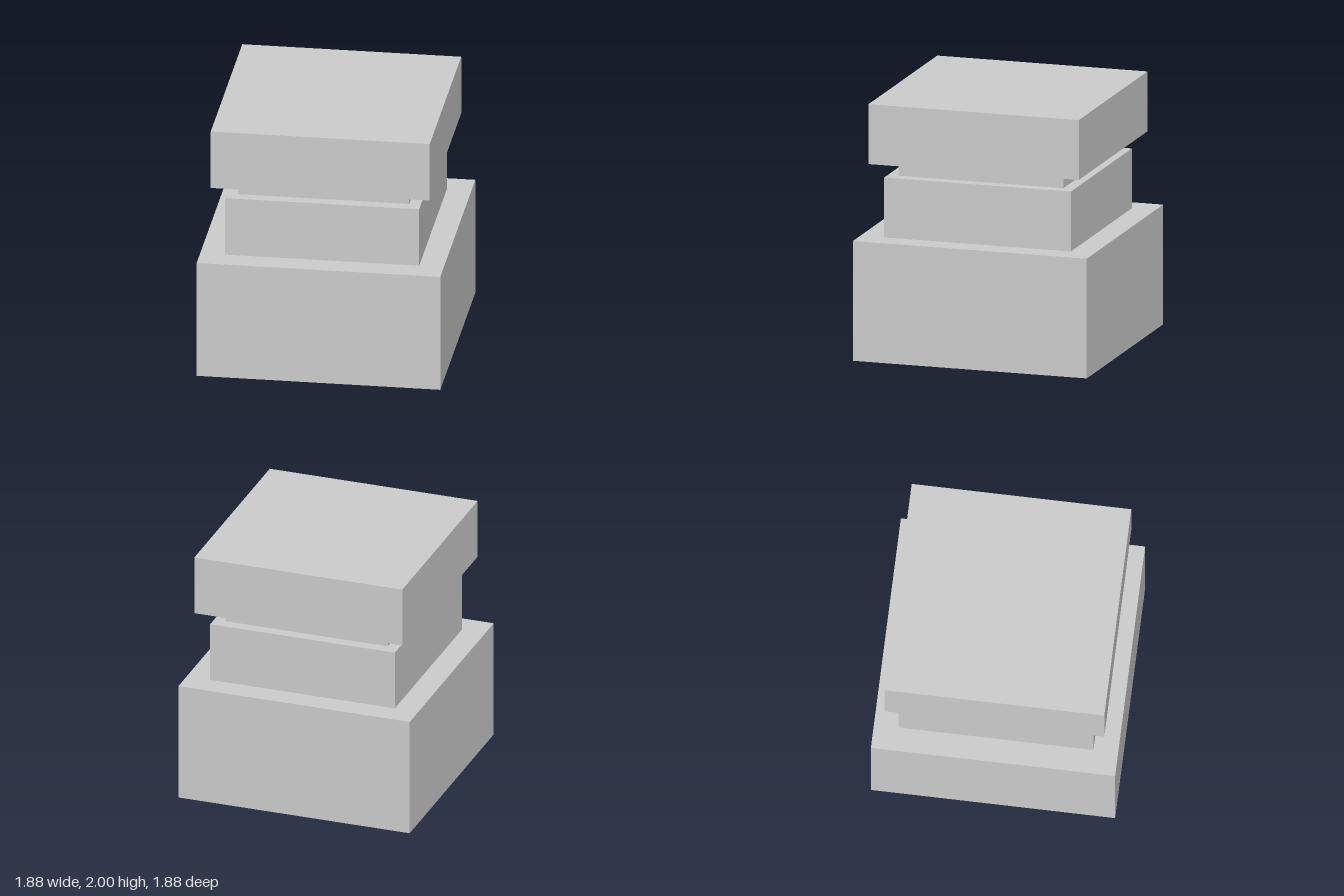
import * as THREE from 'three';

// Square tiers from bottom to top: name, width, bottom height, top height
const TIERS = [
  ['base', 1.88, 0, 0.94],
  ['body', 1.5, 0.94, 1.41],
  ['neck', 1.32, 1.41, 1.53],
  ['cap', 1.69, 1.53, 2],
];

export function createModel() {
  const model = new THREE.Group();
  model.name = 'steppedPedestal';
  const material = new THREE.MeshStandardMaterial({ color: 0xcccccc });

  for (const [name, width, bottom, top] of TIERS) {
    const tier = new THREE.Mesh(new THREE.BoxGeometry(width, top - bottom, width), material);
    tier.name = name;
    tier.position.y = (bottom + top) / 2;
    model.add(tier);
  }
  return model;
}
